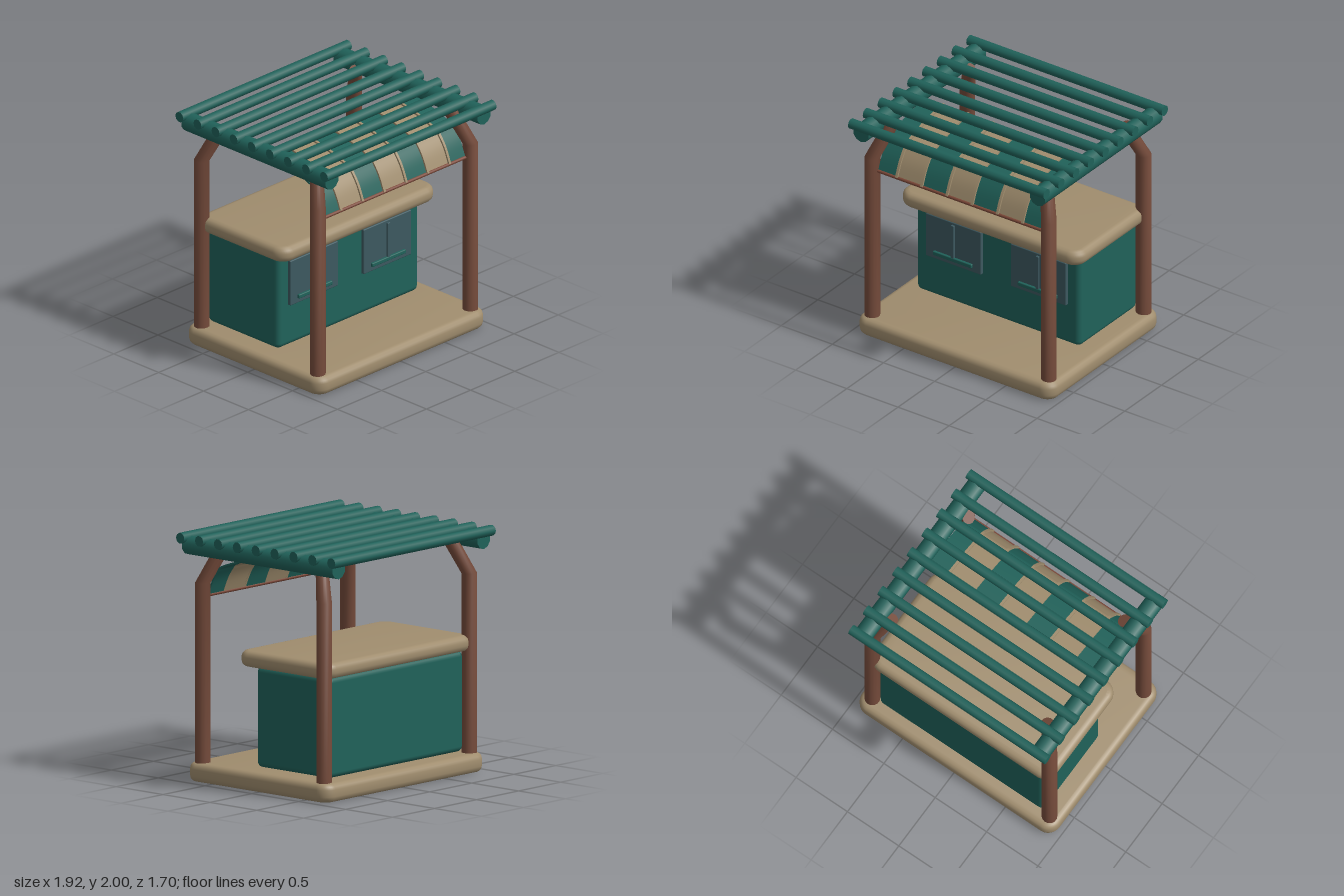
import * as THREE from 'three';
import { toCreasedNormals } from 'three/addons/utils/BufferGeometryUtils.js';
import { RoundedBoxGeometry } from 'three/addons/geometries/RoundedBoxGeometry.js';

function material(name, color) {
  const m = new THREE.MeshStandardMaterial({ color });
  m.name = name;
  return m;
}

// Horizontal slab with rounded corners and bevelled rims, standing on y = 0
function slabGeometry(w, h, d, radius, bevel) {
  const x = w / 2 - bevel, y = d / 2 - bevel, r = radius;
  const s = new THREE.Shape();
  s.moveTo(-x + r, -y);
  s.lineTo(x - r, -y);
  s.absarc(x - r, -y + r, r, -Math.PI / 2, 0);
  s.absarc(x - r, y - r, r, 0, Math.PI / 2);
  s.absarc(-x + r, y - r, r, Math.PI / 2, Math.PI);
  s.absarc(-x + r, -y + r, r, Math.PI, Math.PI * 1.5);
  const g = new THREE.ExtrudeGeometry(s, {
    depth: h - 2 * bevel, bevelEnabled: true, bevelSize: bevel,
    bevelThickness: bevel, bevelSegments: 3, curveSegments: 5
  });
  g.translate(0, 0, bevel);
  g.rotateX(-Math.PI / 2);
  return toCreasedNormals(g, 0.7);
}

// Post that leans inwards above its bend and narrows to a tilted end
function postGeometry(sx, sz) {
  const g = new THREE.CylinderGeometry(0.063, 0.063, 2, 14, 2);
  const p = g.attributes.position;
  for (let i = 0; i < p.count; i++) {
    const x = p.getX(i), y = p.getY(i), z = p.getZ(i);
    if (y > 0.5) {
      const tx = x * 0.8, tz = z * 0.8;
      const tilt = (sx * tx * 0.105 + sz * tz * 0.12) / 0.29;
      p.setXYZ(i, sx * 0.757 + tx, 1.89 + tilt, sz * 0.527 + tz);
    } else {
      p.setXYZ(i, sx * 0.862 + x, y < -0.5 ? 0.14 : 1.605, sz * 0.647 + z);
    }
  }
  return toCreasedNormals(g, 0.8);
}

// Strip of awning following the side profile, from x0 to x1
const awningCurve = new THREE.SplineCurve([
  [0.655, 1.5], [0.605, 1.62], [0.545, 1.71], [0.495, 1.752], [0.285, 1.82], [0.02, 1.87]
].map(([z, y]) => new THREE.Vector2(z, y)));

function awningGeometry(x0, x1, lift, thickness) {
  const outer = [], inner = [];
  for (let i = 0; i <= 14; i++) {
    const p = awningCurve.getPoint(i / 14), t = awningCurve.getTangent(i / 14);
    const n = new THREE.Vector2(t.y, -t.x);
    outer.push(p.clone().addScaledVector(n, lift));
    inner.unshift(p.clone().addScaledVector(n, lift - thickness));
  }
  const g = new THREE.ExtrudeGeometry(new THREE.Shape([...outer, ...inner]), {
    depth: x1 - x0, bevelEnabled: false
  });
  // Profile x becomes z, extrusion becomes -x
  g.rotateY(-Math.PI / 2);
  g.translate(x1, 0, 0);
  return toCreasedNormals(g, 0.7);
}

export function createModel() {
  const model = new THREE.Group();
  model.name = 'marketStall';
  const teal = material('teal paint', 0x20625a);
  const tan = material('tan', 0xa08d6e);
  const brown = material('brown wood', 0x754b3b);
  const slate = material('slate', 0x3d5960);
  const rust = material('rust rail', 0x7c4838);

  function add(parent, name, geometry, mat, x = 0, y = 0, z = 0) {
    const mesh = new THREE.Mesh(geometry, mat);
    mesh.name = name;
    mesh.position.set(x, y, z);
    parent.add(mesh);
    return mesh;
  }

  // Floor
  add(model, 'base', slabGeometry(1.92, 0.155, 1.515, 0.06, 0.05), tan);

  // Counter
  const counter = new THREE.Group();
  counter.name = 'counter';
  model.add(counter);
  add(counter, 'counterBody', new RoundedBoxGeometry(1.6, 0.815, 0.79, 3, 0.045), teal, 0, 0.5775, -0.255);
  add(counter, 'counterTop', slabGeometry(1.77, 0.13, 0.975, 0.07, 0.05), tan, 0, 0.98, -0.2075);

  // Front panels with a bar and a ledge
  for (const x of [-0.415, 0.415]) {
    const panel = new THREE.Group();
    panel.name = 'frontPanel';
    panel.position.x = x;
    counter.add(panel);
    add(panel, 'panelPlate', new RoundedBoxGeometry(0.54, 0.39, 0.035, 2, 0.008), slate, 0, 0.725, 0.15);
    add(panel, 'panelBar', new RoundedBoxGeometry(0.03, 0.31, 0.024, 2, 0.005), slate, 0, 0.745, 0.173);
    add(panel, 'panelLedge', new RoundedBoxGeometry(0.38, 0.035, 0.028, 2, 0.008), teal, 0, 0.588, 0.173);
  }

  // Posts and roof beams
  for (const sx of [-1, 1]) {
    for (const sz of [-1, 1]) add(model, 'post', postGeometry(sx, sz), brown);
    const beam = new THREE.CylinderGeometry(0.077, 0.077, 1.605, 10);
    beam.rotateX(Math.PI / 2);
    add(model, 'roofBeam', beam, teal, sx * 0.862, 1.892, 0);
  }

  // Roof poles
  const pole = new THREE.CylinderGeometry(0.044, 0.044, 1.91, 10);
  pole.rotateZ(Math.PI / 2);
  for (let i = -4; i <= 4; i++) add(model, 'roofPole', pole, teal, 0, 1.956, i * 0.2015);

  // Striped awning, ribs along the stripe edges, and front rail
  const awning = new THREE.Group();
  awning.name = 'awning';
  model.add(awning);
  const edges = [-0.8, -0.615, -0.37, -0.123, 0.123, 0.37, 0.615, 0.8];
  for (let i = 0; i < 7; i++) {
    add(awning, 'awningStripe', awningGeometry(edges[i], edges[i + 1], 0, 0.014), i % 2 ? tan : teal);
    if (i > 0) add(awning, 'awningRib', awningGeometry(edges[i] - 0.011, edges[i] + 0.011, 0.015, 0.03), tan);
  }
  const rail = new THREE.CylinderGeometry(0.015, 0.015, 1.66, 10);
  rail.rotateZ(Math.PI / 2);
  add(awning, 'awningRail', rail, rust, 0, 1.497, 0.65);

  return model;
}
